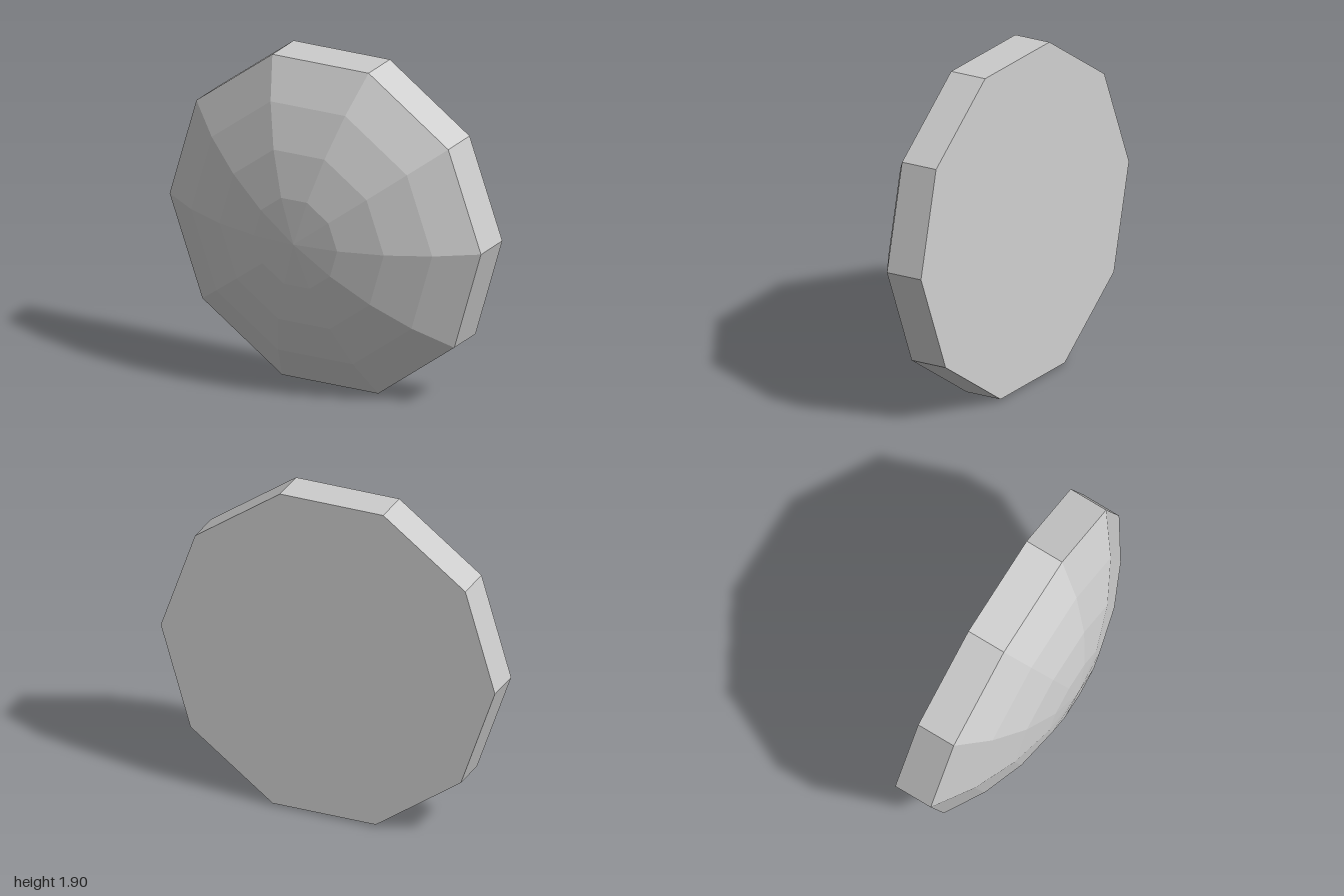
import * as THREE from 'three';

const SIDES = 10;
const RADIUS = 0.996;      // decagon corner radius
const THICK = 0.228;       // height of the straight rim
const SPHERE = 1.62;       // radius of the sphere the dome is cut from
const DOME_RINGS = 4;

export function createModel() {
  const model = new THREE.Group();
  model.name = 'domedDisc';
  const grey = new THREE.MeshStandardMaterial({ color: 0xcccccc, flatShading: true });
  grey.name = 'light grey';

  // ten-sided turned part, profile given from bottom to top
  const addTurned = (name, profile) => {
    const points = profile.map(([r, h]) => new THREE.Vector2(r, h));
    const mesh = new THREE.Mesh(new THREE.LatheGeometry(points, SIDES), grey);
    mesh.name = name;
    model.add(mesh);
  };

  // shallow spherical dome below the rim
  const capAngle = Math.asin(RADIUS / SPHERE);
  const dome = [];
  for (let i = 0; i <= DOME_RINGS; i++) {
    const a = (capAngle * i) / DOME_RINGS;
    dome.push([SPHERE * Math.sin(a), SPHERE * (Math.cos(capAngle) - Math.cos(a))]);
  }
  addTurned('dome', dome);

  // straight rim and flat face
  addTurned('rim', [[RADIUS, 0], [RADIUS, THICK]]);
  addTurned('flatFace', [[RADIUS, THICK], [0, THICK]]);

  // tip the disc so its flat face looks towards +x, slightly up and back
  const axis = new THREE.Vector3(0.982, 0.0546, -0.181).normalize();
  const along = new THREE.Vector3(0.181, 0, 0.982).normalize();
  const across = new THREE.Vector3().crossVectors(axis, along);
  model.quaternion.setFromRotationMatrix(new THREE.Matrix4().makeBasis(across, axis, along));
  model.position.set(-0.024, 0.948, 0.021);

  const root = new THREE.Group();
  root.name = 'model';
  root.add(model);
  return root;
}
